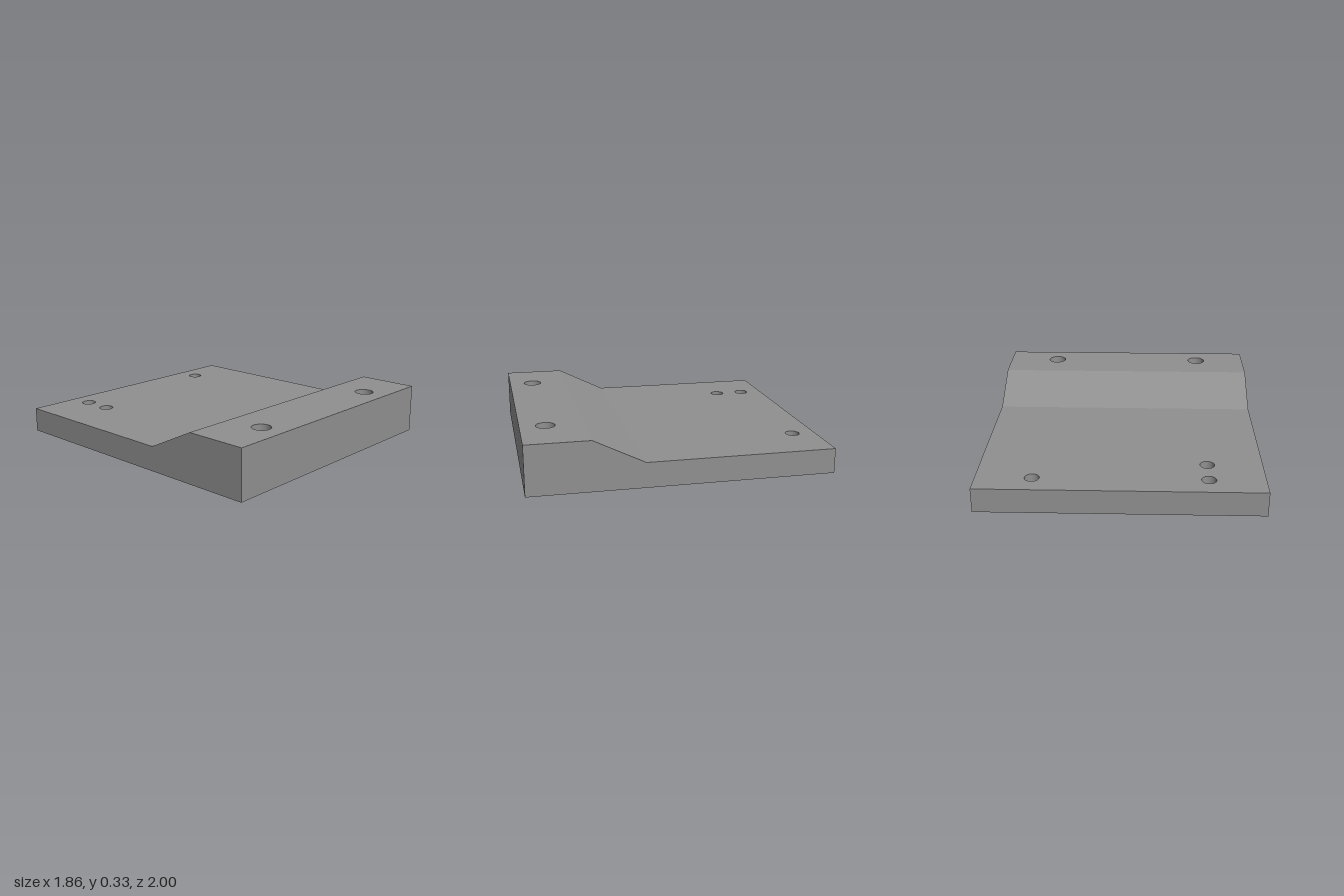
import * as THREE from 'three';
import { mergeGeometries } from 'three/addons/utils/BufferGeometryUtils.js';

const HALF = 0.93, LOW = 0.167, HIGH = 0.333;
const RAMP_TOP = 0.585, RAMP_FOOT = 0.25, POCKET_FLOOR = 0.08;
const GREY = 0x909090;

// Holes as [x, z, radius]
const throughHoles = [[-0.565, -0.845, 0.048], [0.563, -0.845, 0.048], [-0.565, -0.643, 0.048]];
const pockets = [[-0.56, 0.833, 0.063], [0.56, 0.833, 0.063]];

// Horizontal rectangle pierced by round holes; dir = 1 faces up, -1 faces down
function deck(y, z0, z1, holes, dir = 1) {
  const pts = [[-HALF, z0], [HALF, z0], [HALF, z1], [-HALF, z1]];
  const shape = new THREE.Shape(pts.map(([x, z]) => new THREE.Vector2(x, -dir * z)));
  for (const [x, z, r] of holes) {
    shape.holes.push(new THREE.Path().absarc(x, -dir * z, r, 0, Math.PI * 2, true));
  }
  return new THREE.ShapeGeometry(shape, 24).rotateX(-dir * Math.PI / 2).translate(0, y, 0);
}

// Full-width panel from one profile point [z, y] to the next
function panel([z0, y0], [z1, y1]) {
  const g = new THREE.PlaneGeometry(1, 1);
  g.setAttribute('position', new THREE.Float32BufferAttribute(
    [-HALF, y1, z1, HALF, y1, z1, -HALF, y0, z0, HALF, y0, z0], 3));
  g.computeVertexNormals();
  return g;
}

// Side wall with the stepped profile; side = 1 is +x, -1 is -x
function sideWall(profile, side) {
  const shape = new THREE.Shape(profile.map(([z, y]) => new THREE.Vector2(-side * z, y)));
  return new THREE.ShapeGeometry(shape).rotateY(side * Math.PI / 2).translate(side * HALF, 0, 0);
}

export function createModel() {
  const group = new THREE.Group();
  const material = new THREE.MeshStandardMaterial({ color: GREY });
  const boreMaterial = new THREE.MeshStandardMaterial({ color: GREY, side: THREE.BackSide });

  const add = (name, geometry, mat = material) => {
    const mesh = new THREE.Mesh(geometry, mat);
    mesh.name = name;
    group.add(mesh);
    return mesh;
  };

  // Stepped plate
  const profile = [[1, 0], [1, HIGH], [RAMP_TOP, HIGH], [RAMP_FOOT, LOW], [-1, LOW], [-1, 0]];
  add('steppedPlate', mergeGeometries([
    panel(profile[0], profile[1]),
    deck(HIGH, RAMP_TOP, 1, pockets),
    panel(profile[2], profile[3]),
    deck(LOW, -1, RAMP_FOOT, throughHoles),
    panel(profile[4], profile[5]),
    deck(0, -1, 1, throughHoles, -1),
    sideWall(profile, 1),
    sideWall(profile, -1),
  ]));

  // Inner walls of a vertical hole
  const bore = (name, [x, z, r], y0, y1) => {
    const g = new THREE.CylinderGeometry(r, r, y1 - y0, 48, 1, true);
    add(name, g, boreMaterial).position.set(x, (y0 + y1) / 2, z);
  };

  // Through holes in the thin part
  for (const hole of throughHoles) bore('throughHole', hole, 0, LOW);

  // Blind pockets in the raised part
  for (const hole of pockets) {
    bore('pocketWall', hole, POCKET_FLOOR, HIGH);
    add('pocketFloor', new THREE.CircleGeometry(hole[2], 48).rotateX(-Math.PI / 2))
      .position.set(hole[0], POCKET_FLOOR, hole[1]);
  }
  return group;
}
